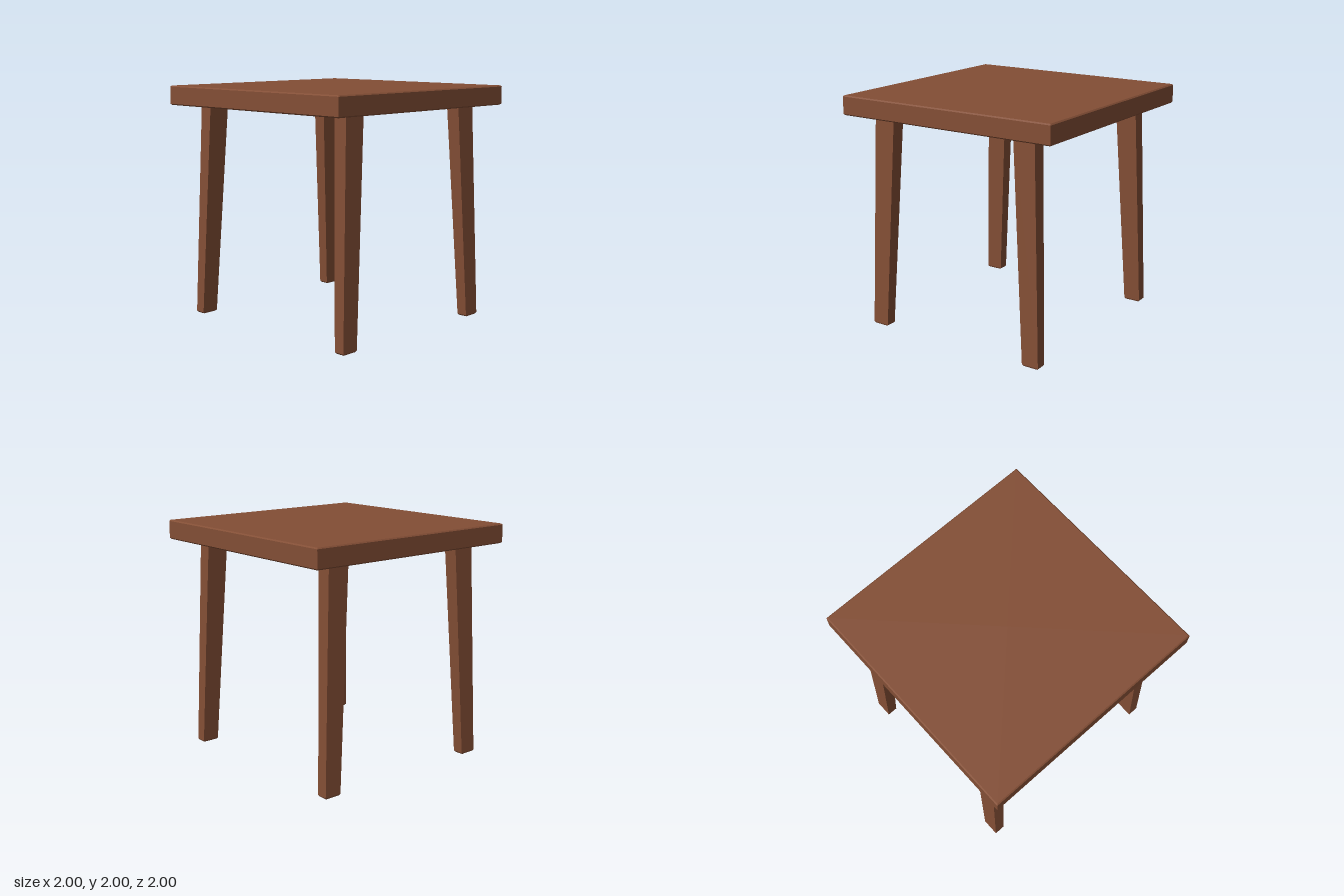
import * as THREE from 'three';

const wood = new THREE.MeshStandardMaterial({ color: 0x834e35 });
wood.name = 'brownWood';

// Square solid from a profile of [half width, height], turned in four flat sides
function squareLathe(profile) {
  const points = profile.map(([w, y]) => new THREE.Vector2(w * Math.SQRT2, y));
  return new THREE.LatheGeometry(points, 4, Math.PI / 4).toNonIndexed();
}

// Splayed leg, tapering to the floor; sx and sz choose the corner
function legGeometry(sx, sz) {
  const geometry = squareLathe([[0, 0], [0.86, 0], [1, 0.012], [1, 1.94], [0, 1.94]]);
  const pos = geometry.attributes.position;
  for (let i = 0; i < pos.count; i++) {
    const y = pos.getY(i);
    const t = y / 1.835;
    const outerX = THREE.MathUtils.lerp(0.902, 0.86, t);
    const innerX = THREE.MathUtils.lerp(0.81, 0.74, t);
    const outerZ = THREE.MathUtils.lerp(0.845, 0.775, t);
    const innerZ = THREE.MathUtils.lerp(0.695, 0.583, t);
    pos.setXYZ(
      i,
      (sx * (outerX + innerX) + pos.getX(i) * (outerX - innerX)) / 2,
      y,
      (sz * (outerZ + innerZ) + pos.getZ(i) * (outerZ - innerZ)) / 2
    );
  }
  return geometry;
}

function addPart(group, name, geometry) {
  geometry.computeVertexNormals();
  const mesh = new THREE.Mesh(geometry, wood);
  mesh.name = name;
  group.add(mesh);
}

export function createModel() {
  const table = new THREE.Group();
  table.name = 'table';

  // Top with chamfered edges and a recess underneath, framed by a rim
  addPart(table, 'tableTop', squareLathe([
    [0, 1.935], [0.92, 1.935], [0.92, 1.835], [0.99, 1.835],
    [1, 1.845], [1, 1.99], [0.99, 2], [0, 2],
  ]));

  // Four legs, reaching up into the recess
  for (const [zName, sz] of [['front', 1], ['back', -1]]) {
    for (const [xName, sx] of [['Left', 1], ['Right', -1]]) {
      addPart(table, `${zName}${xName}Leg`, legGeometry(sx, sz));
    }
  }
  return table;
}
